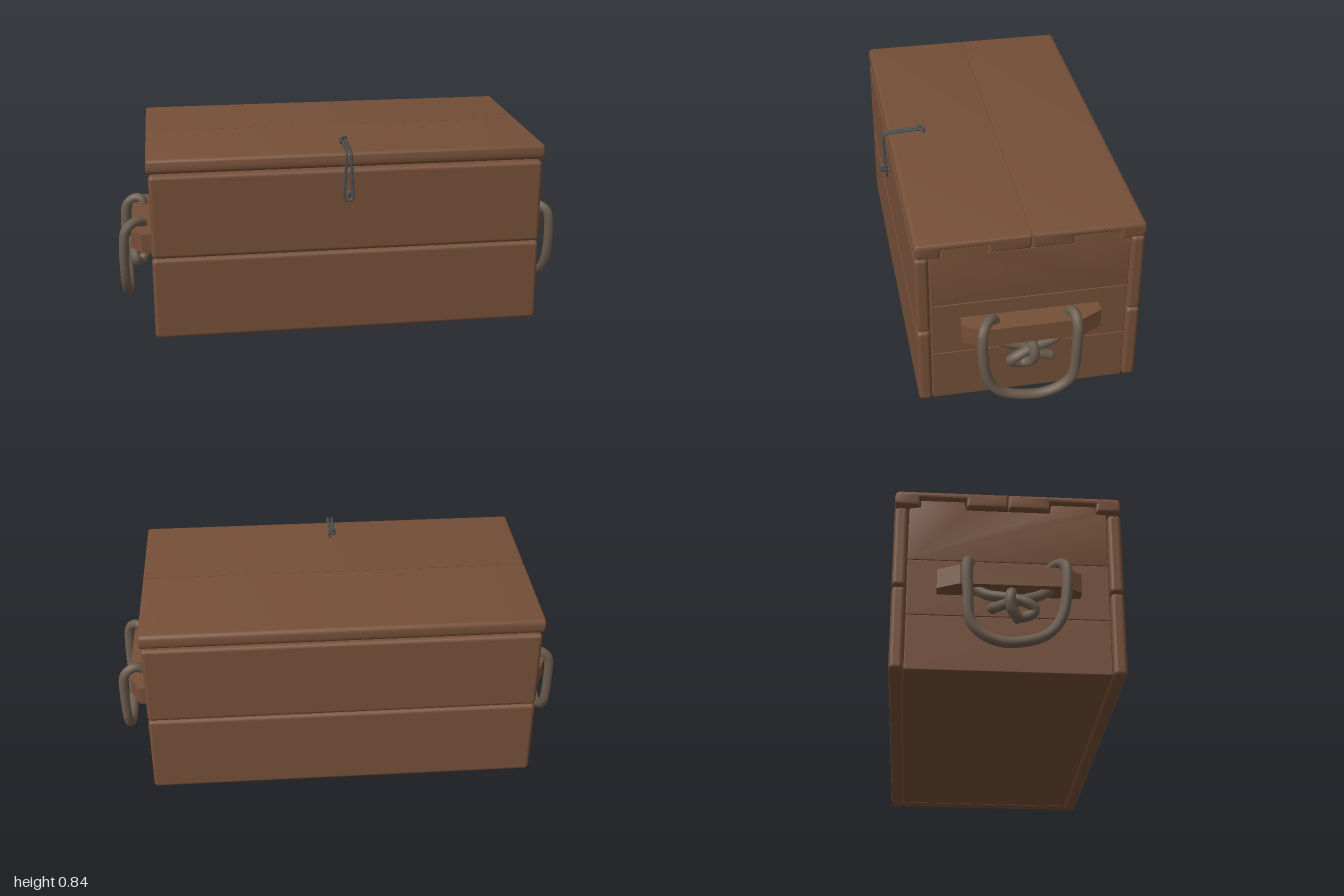
import * as THREE from 'three';
import { toCreasedNormals } from 'three/addons/utils/BufferGeometryUtils.js';
import { RoundedBoxGeometry } from 'three/addons/geometries/RoundedBoxGeometry.js';

const material = (name, color) => {
  const m = new THREE.MeshStandardMaterial({ color });
  m.name = name;
  return m;
};

export function createModel() {
  const chest = new THREE.Group();
  chest.name = 'chest';
  const wood = material('brown wood', 0x754f38);
  const rope = material('weathered rope', 0x6b5c4e);
  const iron = material('dark iron', 0x4a5052);

  const add = (name, geometry, mat) => {
    const mesh = new THREE.Mesh(geometry, mat);
    mesh.name = name;
    chest.add(mesh);
    return mesh;
  };

  // Box plank given by its minimum and maximum corners
  const plank = (name, [x0, y0, z0], [x1, y1, z1], radius) => {
    const g = new RoundedBoxGeometry(x1 - x0, y1 - y0, z1 - z0, 3, radius);
    add(name, g, wood).position.set((x0 + x1) / 2, (y0 + y1) / 2, (z0 + z1) / 2);
  };

  // Outline in (z, y), extruded along x from x0 to x1
  const profile = (name, shape, x0, x1, bevel) => {
    const g = new THREE.ExtrudeGeometry(shape, {
      depth: x1 - x0 - 2 * bevel, bevelThickness: bevel, bevelSize: bevel,
      bevelOffset: -bevel, bevelSegments: 3, curveSegments: 5,
    });
    g.rotateY(-Math.PI / 2).translate(x1 - bevel, 0, 0);
    add(name, toCreasedNormals(g, 0.7), wood);
  };

  // Round cord through points, with rounded ends
  const cord = (name, points, radius, mat, closed = false, sides = 8, tension = 0.5) => {
    const pts = points.map((p) => new THREE.Vector3(...p));
    const curve = new THREE.CatmullRomCurve3(pts, closed, 'catmullrom', tension);
    add(name, new THREE.TubeGeometry(curve, pts.length * 5, radius, sides, closed), mat);
    if (closed) return;
    for (const p of [pts[0], pts[pts.length - 1]]) {
      add(name + 'End', new THREE.SphereGeometry(radius, sides, 6), mat).position.copy(p);
    }
  };

  // Front and back walls, two planks each
  for (const [name, z0, z1] of [['front', 0.393, 0.45], ['back', -0.49, -0.433]]) {
    plank(name + 'LowerPlank', [-0.847, 0.008, z0], [0.847, 0.374, z1], 0.018);
    plank(name + 'UpperPlank', [-0.847, 0.376, z0], [0.847, 0.743, z1], 0.018);
  }

  // Floor
  plank('floor', [-0.83, 0.014, -0.432], [0.83, 0.06, 0.392], 0.004);

  // End walls: two plain planks and a top plank with two tabs
  const tabbed = new THREE.Shape([
    [-0.43, 0.5], [0.39, 0.5], [0.39, 0.743], [0.342, 0.75], [0.342, 0.782], [0.16, 0.782],
    [0.155, 0.743], [-0.195, 0.743], [-0.2, 0.782], [-0.382, 0.782], [-0.382, 0.75], [-0.43, 0.743],
  ].map(([z, y]) => new THREE.Vector2(z, y)));
  for (const side of [-1, 1]) {
    const [x0, x1] = side > 0 ? [0.78, 0.838] : [-0.838, -0.78];
    plank('endLowerPlank', [x0, 0.01, -0.43], [x1, 0.25, 0.39], 0.004);
    plank('endMiddlePlank', [x0, 0.25, -0.43], [x1, 0.5, 0.39], 0.004);
    profile('endTopPlank', tabbed, x0, x1, 0.004);
  }

  // Lid: two planks, rounded on the outside, notched over the tabs
  const lidPlank = (name, inner, outer, notchA, notchB) => {
    const d = Math.sign(outer - inner);
    const r = 0.024;
    const s = new THREE.Shape();
    s.moveTo(inner, 0.75);
    s.lineTo(notchA, 0.75);
    s.lineTo(notchA, 0.787);
    s.lineTo(notchB, 0.787);
    s.lineTo(notchB, 0.75);
    s.lineTo(outer - d * r, 0.75);
    s.quadraticCurveTo(outer, 0.75, outer, 0.75 + r);
    s.lineTo(outer, 0.815 - r);
    s.quadraticCurveTo(outer, 0.815, outer - d * r, 0.815);
    s.lineTo(inner, 0.815);
    profile(name, s, -0.856, 0.856, 0.012);
  };
  lidPlank('lidFrontPlank', -0.019, 0.45, 0.153, 0.347);
  lidPlank('lidBackPlank', -0.021, -0.49, -0.193, -0.387);

  // Handles: wooden cleat, hanging rope loop and knot
  for (const side of [-1, 1]) {
    const at = (points) => points.map(([x, y, z]) => [x * side, y, z]);
    const cleat = new THREE.Shape([
      [0.83, 0.27], [0.89, 0.27], [0.937, 0.19], [0.937, -0.22], [0.89, -0.31], [0.83, -0.31],
    ].map(([x, z]) => new THREE.Vector2(x * side, -z)));
    const g = new THREE.ExtrudeGeometry(cleat, { depth: 0.085, bevelEnabled: false });
    add('handleCleat', g.rotateX(-Math.PI / 2).translate(0, 0.343, 0), wood);

    cord('handleRope', at([
      [0.885, 0.41, 0.13], [0.89, 0.445, 0.145], [0.925, 0.452, 0.175], [0.962, 0.42, 0.198],
      [0.972, 0.34, 0.2], [0.972, 0.23, 0.188], [0.969, 0.15, 0.155], [0.965, 0.1, 0.09],
      [0.963, 0.077, -0.03], [0.965, 0.105, -0.125], [0.969, 0.17, -0.18], [0.972, 0.3, -0.19],
      [0.965, 0.41, -0.193], [0.925, 0.452, -0.188], [0.89, 0.445, -0.178], [0.885, 0.41, -0.17],
    ]), 0.022, rope);
    cord('knotFrontStrand', at([
      [0.885, 0.36, 0.15], [0.895, 0.322, 0.1], [0.9, 0.298, 0.03], [0.92, 0.27, -0.03], [0.92, 0.245, -0.09],
    ]), 0.022, rope);
    cord('knotBackStrand', at([
      [0.885, 0.36, -0.17], [0.9, 0.315, -0.11], [0.92, 0.292, -0.01], [0.93, 0.265, 0.055],
      [0.92, 0.235, 0.075], [0.91, 0.215, 0.025], [0.93, 0.235, -0.012], [0.94, 0.285, -0.022],
      [0.92, 0.318, -0.015], [0.885, 0.3, -0.01], [0.88, 0.25, 0], [0.9, 0.215, 0.01],
    ]), 0.022, rope);
  }

  // Latch: bent wire hasp held by two staples
  const leg = [
    [0.008, 0.834, 0.295], [0.008, 0.832, 0.36], [0.009, 0.826, 0.455], [0.01, 0.81, 0.473],
    [0.014, 0.72, 0.471], [0.02, 0.63, 0.466],
  ];
  const otherLeg = leg.map(([x, y, z]) => [-x, y, z]).reverse();
  cord('haspWire', [...leg, [0.012, 0.61, 0.466], [-0.012, 0.61, 0.466], ...otherLeg]
    .map(([x, y, z]) => [x - 0.007, y, z]), 0.006, iron, true, 6, 0.3);
  cord('lidStaple', [
    [-0.02, 0.81, 0.31], [-0.02, 0.84, 0.315], [-0.007, 0.843, 0.302],
    [0.006, 0.84, 0.29], [0.006, 0.81, 0.292],
  ], 0.005, iron, false, 6, 0.2);
  cord('frontStaple', [
    [-0.007, 0.657, 0.44], [-0.007, 0.657, 0.48], [-0.007, 0.65, 0.488],
    [-0.007, 0.635, 0.486], [-0.007, 0.63, 0.475], [-0.007, 0.632, 0.44],
  ], 0.006, iron, false, 6, 0.2);

  return chest;
}
